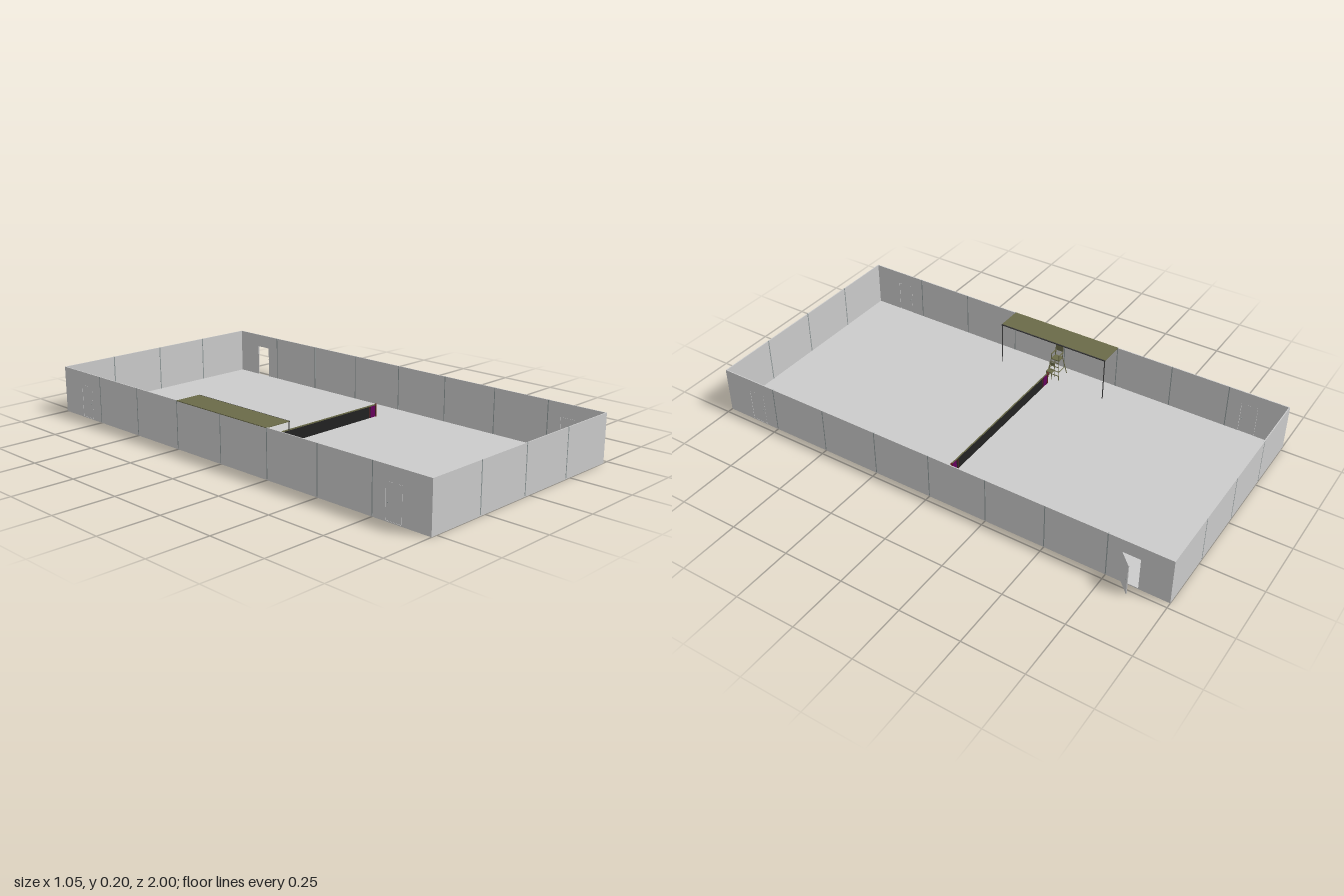
import * as THREE from 'three';

const X0 = -0.524, X1 = 0.476, H = 0.195, T = 0.004;
const DOOR_W = 0.07, DOOR_H = 0.135, DOOR_Z = 0.843;

const mat = (color, extra = {}) => new THREE.MeshStandardMaterial({ color, ...extra });
const grey = mat(0xcccccc);
const seamMat = mat(0x939c9c);
const olive = mat(0x6a6a48);
const dark = mat(0x3a3a3a);
const black = mat(0x222222);
const purple = mat(0x66005c);
const red = mat(0x6e2020);

function add(parent, name, geo, material, x = 0, y = 0, z = 0) {
  const m = new THREE.Mesh(geo, material);
  m.name = name;
  m.position.set(x, y, z);
  parent.add(m);
  return m;
}

function box(parent, name, material, sx, sy, sz, x, y, z) {
  return add(parent, name, new THREE.BoxGeometry(sx, sy, sz), material, x, y, z);
}

// Thin round bar between two points
function bar(parent, name, material, a, b, r) {
  const p = new THREE.Vector3(...a), q = new THREE.Vector3(...b);
  const m = add(parent, name, new THREE.CylinderGeometry(r, r, p.distanceTo(q), 8), material);
  m.position.copy(p).add(q).multiplyScalar(0.5);
  m.quaternion.setFromUnitVectors(new THREE.Vector3(0, 1, 0), q.sub(p).normalize());
  return m;
}

// Door leaf hinged at its origin and running along +z, with a knob on each side
function makeDoor(name) {
  const door = new THREE.Group();
  door.name = name;
  box(door, 'doorLeaf', grey, T * 0.8, DOOR_H - 0.001, DOOR_W - 0.002, 0, DOOR_H / 2, DOOR_W / 2);
  for (const s of [-1, 1])
    add(door, 'doorKnob', new THREE.SphereGeometry(0.0025, 10, 8), seamMat, s * 0.002, 0.064, DOOR_W - 0.009);
  return door;
}

// Long side wall with two doorways cut through it
function sideWall(parent, name, x) {
  const shape = new THREE.Shape();
  shape.moveTo(-1, 0).lineTo(1, 0).lineTo(1, H).lineTo(-1, H).closePath();
  for (const s of [-1, 1]) {
    const a = s * DOOR_Z - DOOR_W / 2, b = a + DOOR_W;
    const hole = new THREE.Path();
    hole.moveTo(a, T).lineTo(a, T + DOOR_H).lineTo(b, T + DOOR_H).lineTo(b, T).closePath();
    shape.holes.push(hole);
  }
  const geo = new THREE.ExtrudeGeometry(shape, { depth: T, bevelEnabled: false });
  geo.translate(0, 0, -T / 2).rotateY(-Math.PI / 2);
  add(parent, name, geo, grey, x);
  for (let i = -3; i <= 3; i++)
    box(parent, 'wallSeam', seamMat, T + 0.0006, H - T, 0.004, x, (H + T) / 2, i * 0.25);
}

function makeNet() {
  const net = new THREE.Group();
  net.name = 'net';
  const a = -0.38, b = 0.33, h = 0.055, mid = (a + b) / 2;
  box(net, 'netMesh', black, b - a, h - 0.006, 0.002, mid, T + h / 2 - 0.003, 0);
  box(net, 'netTopBand', olive, b - a, 0.005, 0.003, mid, T + h - 0.0035, 0);
  for (const [x, s] of [[a, 1], [b, -1]]) {
    box(net, 'netPost', red, 0.005, h, 0.005, x, T + h / 2, 0);
    box(net, 'netEndPanel', purple, 0.026, h - 0.007, 0.0028, x + s * 0.02, T + h / 2 - 0.003, 0);
    box(net, 'netEndStrap', red, 0.003, h - 0.007, 0.0032, x + s * 0.042, T + h / 2 - 0.003, 0);
  }
  return net;
}

// High seat on splayed legs, with a ladder at the court side
function makeHighChair() {
  const chair = new THREE.Group();
  chair.name = 'highChair';
  const seatY = 0.085, r = 0.0018;
  for (const z of [-1, 1]) {
    for (const x of [-1, 1]) {
      bar(chair, 'chairLeg', olive, [x * 0.033, 0, z * 0.03], [x * 0.016, seatY, z * 0.018], r);
      bar(chair, 'armPost', olive, [x * 0.016, seatY, z * 0.018], [x * 0.016, seatY + 0.024, z * 0.018], r);
    }
    bar(chair, 'armRest', olive, [-0.018, seatY + 0.024, z * 0.018], [0.018, seatY + 0.024, z * 0.018], r * 1.4);
    bar(chair, 'sideBrace', olive, [-0.026, 0.035, z * 0.025], [0.026, 0.035, z * 0.025], r);
    bar(chair, 'backPost', olive, [-0.016, seatY, z * 0.017], [-0.02, 0.138, z * 0.017], r);
  }
  for (const t of [0.2, 0.42, 0.64, 0.85]) {
    const x = 0.033 - 0.017 * t, z = 0.03 - 0.012 * t;
    bar(chair, 'ladderRung', olive, [x, seatY * t, -z], [x, seatY * t, z], r);
  }
  box(chair, 'highSeat', olive, 0.036, 0.004, 0.038, 0, seatY, 0);
  box(chair, 'highSeatBack', olive, 0.003, 0.026, 0.037, -0.019, 0.125, 0);
  return chair;
}

// Small chair beside the high seat
function makeLowChair() {
  const chair = new THREE.Group();
  chair.name = 'lowChair';
  for (const x of [-1, 1])
    for (const z of [-1, 1])
      bar(chair, 'lowChairLeg', olive, [x * 0.012, 0, z * 0.013], [x * 0.011, 0.034, z * 0.012], 0.0016);
  box(chair, 'lowChairSeat', olive, 0.027, 0.003, 0.029, 0, 0.034, 0);
  for (const z of [-1, 1])
    bar(chair, 'lowChairBackPost', olive, [-0.012, 0.034, z * 0.012], [-0.014, 0.067, z * 0.012], 0.0016);
  box(chair, 'lowChairBack', olive, 0.002, 0.016, 0.027, -0.014, 0.059, 0);
  return chair;
}

export function createModel() {
  const g = new THREE.Group();
  g.name = 'walledCourt';
  const cx = (X0 + X1) / 2;

  // Floor and perimeter walls
  box(g, 'floor', grey, X1 - X0, T, 2, cx, T / 2, 0);
  for (const s of [-1, 1]) {
    const z = s * (1 - T / 2);
    box(g, s > 0 ? 'frontWall' : 'backWall', grey, X1 - X0 - 2 * T, H, T, cx, H / 2, z);
    for (let i = -1; i <= 1; i++)
      box(g, 'wallSeam', seamMat, 0.005, H - T, T + 0.0006, cx + i * 0.25, (H + T) / 2, z);
  }
  sideWall(g, 'leftWall', X1 - T / 2);
  sideWall(g, 'rightWall', X0 + T / 2);

  // Three closed doors and one swung outward
  for (const [x, s] of [[X1 - T / 2, 1], [X0 + T / 2, 1], [X0 + T / 2, -1]]) {
    const door = makeDoor('closedDoor');
    door.position.set(x, T, s * (DOOR_Z + DOOR_W / 2));
    if (s > 0) door.rotation.y = Math.PI;
    g.add(door);
  }
  const open = makeDoor('openDoor');
  open.position.set(X1 - T / 2, T, -DOOR_Z + DOOR_W / 2);
  open.rotation.y = Math.PI - Math.PI / 4;
  g.add(open);

  g.add(makeNet());

  // Flat canopy on the side wall, held by two slim posts
  const canopy = new THREE.Group();
  canopy.name = 'canopy';
  box(canopy, 'canopyRoof', olive, 0.11, 0.003, 0.5, X0 + 0.055, H - 0.0012, 0);
  box(canopy, 'canopyEdge', dark, 0.004, 0.004, 0.5, -0.412, H - 0.002, 0);
  for (const z of [-0.248, 0.248])
    bar(canopy, 'canopyPost', dark, [-0.412, T, z], [-0.412, H - 0.002, z], 0.0022);
  g.add(canopy);

  // Seating under the canopy
  const high = makeHighChair();
  high.position.set(-0.457, T, 0);
  const low = makeLowChair();
  low.position.set(-0.424, T, 0.012);
  g.add(high, low);
  return g;
}
